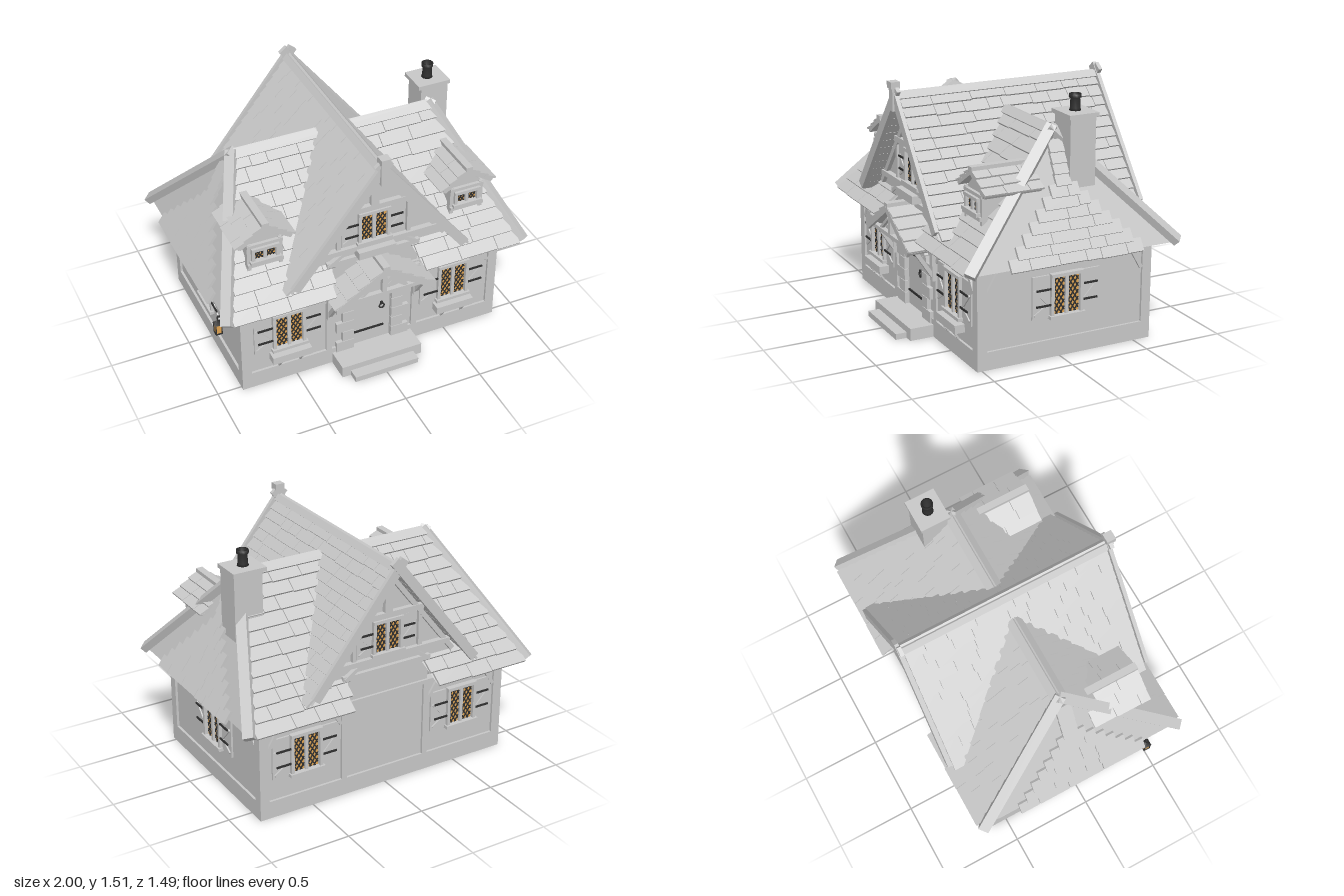
import * as THREE from 'three';
import { mergeGeometries } from 'three/addons/utils/BufferGeometryUtils.js';

const stone = new THREE.MeshStandardMaterial({ color: 0xc8c8c8, side: THREE.DoubleSide });
stone.name = 'pale grey';
const iron = new THREE.MeshStandardMaterial({ color: 0x303030 });
iron.name = 'dark iron';
const glass = new THREE.MeshStandardMaterial({ color: 0xe0a452, side: THREE.DoubleSide });
glass.name = 'amber glass';

const V = (a) => new THREE.Vector3(...a);
let seed = 7;
const rnd = () => (seed = (seed * 16807) % 2147483647) / 2147483647;

function add(parent, name, geo, mat = stone) {
  const m = new THREE.Mesh(geo, mat);
  m.name = name;
  parent.add(m);
  return m;
}
function group(parent, name, x = 0, y = 0, z = 0, ry = 0) {
  const g = new THREE.Group();
  g.name = name;
  g.position.set(x, y, z);
  g.rotation.y = ry;
  parent.add(g);
  return g;
}
// box given by its extents
function box(p, name, x0, x1, y0, y1, z0, z1, mat) {
  const m = add(p, name, new THREE.BoxGeometry(x1 - x0, y1 - y0, z1 - z0), mat);
  m.position.set((x0 + x1) / 2, (y0 + y1) / 2, (z0 + z1) / 2);
  return m;
}
// straight board from a to b, w wide, t thick along the normal n
function beam(p, name, a, b, w, t, n = [0, 0, 1], mat = stone) {
  const A = V(a), B = V(b), X = B.clone().sub(A), len = X.length();
  X.normalize();
  const Y = V(n).cross(X).normalize(), Z = X.clone().cross(Y);
  const geo = new THREE.BoxGeometry(len, w, t);
  geo.applyMatrix4(new THREE.Matrix4().makeBasis(X, Y, Z).setPosition(A.add(B).multiplyScalar(0.5)));
  return add(p, name, geo, mat);
}
function panel(p, name, pts) {
  const pos = [];
  for (let i = 1; i < pts.length - 1; i++) pos.push(...pts[0], ...pts[i], ...pts[i + 1]);
  const g = new THREE.BufferGeometry();
  g.setAttribute('position', new THREE.Float32BufferAttribute(pos, 3));
  g.computeVertexNormals();
  return add(p, name, g);
}
function plate(p, name, pts, holes, depth, z) {
  const s = new THREE.Shape(pts.map((q) => new THREE.Vector2(...q)));
  s.holes = holes;
  const m = add(p, name, new THREE.ExtrudeGeometry(s, { depth, bevelEnabled: false, curveSegments: 10 }));
  m.position.z = z;
  return m;
}
// rows of uneven shingles from o down a slope; range(t) lists the spans along u
function shingles(p, o, u, down, rows, range, thick = 0.014) {
  const U = V(u), D = V(down), L = D.length(), pitch = L / rows, geos = [];
  D.normalize();
  const up = D.clone().negate(), N = U.clone().cross(up);
  for (let r = 0; r < rows; r++) {
    for (const [a, b] of range((r + 0.6) / rows)) {
      for (let s = a; s < b - 0.01;) {
        let e = s + 0.09 + rnd() * 0.17;
        if (e > b - 0.06) e = b;
        const g = new THREE.BoxGeometry(e - s - 0.004, pitch * (1.2 + rnd() * 0.12), thick);
        g.rotateX(-0.17);
        const c = V(o).addScaledVector(U, (s + e) / 2).addScaledVector(D, (r + 0.5) * pitch + rnd() * 0.006).addScaledVector(N, 0.013);
        g.applyMatrix4(new THREE.Matrix4().makeBasis(U, up, N).setPosition(c));
        geos.push(g);
        s = e;
      }
    }
  }
  add(p, 'shingles', mergeGeometries(geos));
}
// small gable roof running along z, for the dormers and porch
function smallRoof(p, half, top, drop, z0, z1, rows) {
  for (const ry of [0, Math.PI]) {
    const zc = (z0 + z1) / 2, h = (z1 - z0) / 2, g = group(p, 'roofSlope', 0, 0, zc, ry);
    beam(g, 'roofBoard', [0, top - 0.02, 0], [half, top - drop - 0.02, 0], h * 2 - 0.02, 0.015, [drop, half, 0]);
    shingles(g, [0, top - 0.015, 0], [0, 0, -1], [half, -drop, 0], rows, () => [[-h, h]], 0.012);
  }
  box(p, 'ridgeCap', -0.022, 0.022, top - 0.012, top + 0.012, z0, z1);
}
// leaded window with optional shutters and flower box, facing +z
function leadedWindow(p, x, y, z, w, h, shutter = 0, planter = false) {
  const g = group(p, 'window', x, y, z), a = w / 2, b = h / 2, f = 0.02;
  box(g, 'glass', -a, a, -b, b, 0.002, 0.006, glass);
  for (const s of [-1, 1]) {
    const jx = s * (a + f / 2);
    box(g, 'jamb', jx - f / 2, jx + f / 2, -b - f, b + f, -0.01, 0.03);
    const pw = a / 2 - 0.007, lead = group(g, 'lattice', s * (a / 2 + 0.003), 0, 0.008);
    const k = 1.5, step = pw * 2 * k / 2.5;
    for (const d of [-1, 1]) for (let c = -6 * step; c <= 6 * step + 1e-6; c += step) {
      const x0 = Math.max(-pw, (-b - c) / k), x1 = Math.min(pw, (b - c) / k);
      if (x1 - x0 > 0.003) beam(lead, 'lead', [d * x0, k * x0 + c, 0], [d * x1, k * x1 + c, 0], 0.0075, 0.004, [0, 0, 1], iron);
    }
    if (shutter) {
      const i = a + f + 0.002, o = i + shutter, S = [Math.min(s * i, s * o), Math.max(s * i, s * o)];
      box(g, 'shutter', ...S, -b - 0.015, b + 0.015, -0.005, 0.012);
      beam(g, 'shutterBrace', [s * (i + 0.012), -b * 0.4, 0.014], [s * (o - 0.012), b * 0.45, 0.014], 0.014, 0.012);
      beam(g, 'shutterBrace', [s * (i + 0.012), -b * 0.4, 0.014], [s * (o - 0.012), -b * 0.9, 0.014], 0.012, 0.012);
      for (const hy of [-0.42, 0.42]) beam(g, 'hinge', [s * (i - 0.012), hy * b, 0.024], [s * (o - 0.02), hy * b, 0.024], 0.011, 0.008, [0, 0, 1], iron);
    }
  }
  box(g, 'mullion', -0.01, 0.01, -b, b, 0, 0.024);
  box(g, 'lintel', -a - f, a + f, b, b + f, -0.01, 0.034);
  box(g, 'sill', -a - f - 0.01, a + f + 0.01, -b - f, -b, -0.01, 0.042);
  if (planter) {
    box(g, 'flowerBox', -a - 0.04, a + 0.04, -b - 0.085, -b - 0.035, 0.005, 0.068);
    for (const s of [-1, 1]) beam(g, 'flowerBoxBracket', [s * a * 0.8, -b - 0.145, 0.015], [s * a * 0.8, -b - 0.085, 0.055], 0.012, 0.014, [1, 0, 0]);
  }
}
function archPath(T, w, y0, ys) {
  const s = new T();
  s.moveTo(-w, y0); s.lineTo(w, y0); s.lineTo(w, ys);
  s.absarc(0, ys, w, 0, Math.PI, false); s.lineTo(-w, y0);
  return s;
}
// one timbered wall facing +z, its plaster face at distance d
function facade(p, name, ry, half, d, windows, posts, door) {
  const g = group(p, name, 0, 0, 0, ry), W = 0.17, H = 0.23, Y = 0.375, out = d + 0.015;
  const holes = windows.map((x) => new THREE.Path([[-1, -1], [1, -1], [1, 1], [-1, 1]].map(([i, j]) => new THREE.Vector2(x + i * W / 2, Y + j * H / 2))));
  if (door) holes.push(archPath(THREE.Path, 0.125, 0.06, 0.42));
  plate(g, 'plaster', [[-half, 0], [half, 0], [half, 0.6], [-half, 0.6]], holes, 0.045, d - 0.045);
  windows.forEach((x) => leadedWindow(g, x, Y, d, W, H, 0.113, door));
  const edge = half + 0.015;
  for (const s of [-1, 1]) {
    const e = s * (edge - 0.03);
    box(g, 'cornerPost', e - 0.03, e + 0.03, 0.11, 0.6, d - 0.015, out);
    beam(g, 'brace', [s * (edge - 0.065), 0.45, d + 0.004], [s * (edge - 0.145), 0.59, d + 0.004], 0.022, 0.02);
    if (door) box(g, 'plinth', Math.min(s * 0.13, s * edge), Math.max(s * 0.13, s * edge), 0, 0.11, d - 0.045, out);
    for (const x of posts) {
      box(g, 'post', s * x - 0.018, s * x + 0.018, 0.11, 0.6, d - 0.01, out);
      beam(g, 'brace', [s * (x + 0.02), 0.48, d + 0.004], [s * (x + 0.09), 0.59, d + 0.004], 0.02, 0.02);
    }
  }
  if (!door) box(g, 'plinth', -edge, edge, 0, 0.11, d - 0.045, out);
  box(g, 'wallPlate', -edge, edge, 0.585, 0.61, d - 0.04, out);
  return g;
}
function gableEnd(p, ry, front) {
  const g = group(p, 'gableEnd', 0, 0, 0, ry), z = 0.555;
  plate(g, 'gableWall', [[-0.3, 0.58], [0.3, 0.58], [0.3, 0.74], [0.5, 0.74], [0, 1.38], [-0.5, 0.74], [-0.3, 0.74]], [], 0.04, z - 0.04);
  leadedWindow(g, 0, 0.972, z, 0.165, 0.185, 0.1);
  box(g, 'collarBeam', -0.24, 0.24, 1.09, 1.125, z, z + 0.03);
  box(g, 'kingPost', -0.025, 0.025, 1.12, 1.4, z, z + 0.03);
  box(g, 'gableBeam', -0.43, 0.43, 0.83, 0.862, z, z + 0.035);
  box(g, 'lowerBeam', -0.3, 0.3, 0.75, 0.782, z, z + 0.025);
  if (front) box(g, 'flowerBox', -0.12, 0.12, 0.79, 0.84, z + 0.01, z + 0.075);
  [-1, 1].forEach((s, i) => {
    box(g, 'stud', s * 0.225 - 0.013, s * 0.225 + 0.013, 0.86, 1.1, z, z + 0.022);
    beam(g, 'bracket', [s * 0.29, 0.76, z + 0.015], [s * 0.17, 0.84, z + 0.015], 0.022, 0.03);
    beam(g, 'rafter', [s * 0.46, 0.78, z + 0.01], [0, 1.365, z + 0.01], 0.03, 0.03);
    beam(g, 'bargeboard', [s * 0.545, 0.745, 0.675 + i * 0.004], [-s * 0.035, 1.478, 0.675 + i * 0.004], 0.058, 0.024);
  });
  if (front) {
    box(g, 'finialPost', -0.025, 0.025, 1.34, 1.48, 0.67, 0.702);
    box(g, 'finialCap', -0.03, 0.03, 1.475, 1.515, 0.655, 0.712);
  }
}
function mainRoof(p, ry) {
  const g = group(p, 'roofHalf', 0, 0, 0, ry), top = 1.295;
  const at = (x, t) => [x, top - 0.68 * t, 0.67 * t];
  for (const s of [-1, 1]) {
    panel(g, 'mainSlope', [at(s * 0.05, 0), at(s * 0.65, 0), at(s * 0.95, 1), at(s * 0.3, 1)]);
    beam(g, 'hipBoard', [s * 0.64, 1.315, -0.01], [s * 0.965, 0.625, 0.672], 0.065, 0.045, [s * 0.6, 0.6, 0.4]);
  }
  shingles(g, [0, top, 0], [1, 0, 0], [0, -0.68, 0.67], 11, (t) => [[-0.64 - 0.3 * t, -0.05 - 0.25 * t], [0.05 + 0.25 * t, 0.64 + 0.3 * t]]);
  // hip end
  panel(g, 'hipSlope', [[0.65, top, 0], at(0.95, 1), [0.95, 0.615, -0.67]]);
  shingles(g, [0.652, top, 0], [0, 0, -1], [0.312, -0.685, 0], 12, (t) => {
    const h = Math.max(0.05, 0.67 * t - 0.22);
    return t < 0.1 ? [] : [[-h, h]];
  }, 0.018);
  beam(g, 'ridgeBoard', [-0.65, 1.302, 0.022], [0.65, 1.302, 0.022], 0.055, 0.018, [0, 1, 0.9]);
  // one slope of the crossing gable roof
  panel(g, 'crossSlope', [[0, 1.42, 0.665], [0, 1.42, -0.665], [0.56, 0.71, -0.665], [0.56, 0.71, 0.665]]);
  shingles(g, [0, 1.42, 0], [0, 0, -1], [0.565, -0.715, 0], 13, (t) => {
    const i = 1.26 - (1.42 - 0.715 * t);
    return i <= 0 ? [[-0.66, 0.66]] : [[-0.66, -Math.min(i, 0.56)], [Math.min(i, 0.56), 0.66]];
  });
  beam(g, 'crossRidgeBoard', [0.018, 1.428, -0.685], [0.018, 1.428, 0.67], 0.045, 0.018, [0.78, 0.62, 0]);
}
function dormer(p, x) {
  const g = group(p, 'dormer', x);
  plate(g, 'dormerBody', [[-0.1, 0.78], [0.1, 0.78], [0.1, 1.01], [0, 1.1], [-0.1, 1.01]], [], 0.34, 0.14);
  leadedWindow(g, 0, 0.93, 0.48, 0.13, 0.065);
  box(g, 'dormerSill', -0.11, 0.11, 0.855, 0.878, 0.46, 0.51);
  box(g, 'dormerBeam', -0.11, 0.11, 0.985, 1.005, 0.47, 0.5);
  for (const s of [-1, 1]) {
    box(g, 'dormerPost', s * 0.098 - 0.012, s * 0.098 + 0.012, 0.8, 1.01, 0.46, 0.495);
    beam(g, 'dormerBarge', [s * 0.16, 1.012, 0.505], [0, 1.115, 0.505], 0.026, 0.014);
  }
  smallRoof(g, 0.165, 1.135, 0.11, 0.14, 0.515, 3);
}
function porchAndDoor(p) {
  const g = group(p, 'porch'), z = 0.555;
  smallRoof(g, 0.305, 0.775, 0.2, 0.54, 0.75, 4);
  box(g, 'tieBeam', -0.27, 0.27, 0.565, 0.59, 0.7, 0.73);
  box(g, 'kingPost', -0.015, 0.015, 0.58, 0.74, 0.7, 0.73);
  for (const s of [-1, 1]) {
    beam(g, 'porchBarge', [s * 0.305, 0.555, 0.74], [0, 0.752, 0.74], 0.04, 0.02);
    beam(g, 'porchStrut', [s * 0.15, 0.585, 0.715], [s * 0.03, 0.68, 0.715], 0.018, 0.02);
    box(g, 'porchPost', s * 0.285 - 0.018, s * 0.285 + 0.018, 0.365, 0.6, z, z + 0.035);
    box(g, 'porchPlate', s * 0.285 - 0.016, s * 0.285 + 0.016, 0.55, 0.58, z, 0.73);
    beam(g, 'porchBrace', [s * 0.285, 0.385, 0.575], [s * 0.285, 0.56, 0.69], 0.024, 0.026, [1, 0, 0]);
    // alternating door stones
    for (let i = 0; i < 5; i++) {
      const o = i % 2 ? 0.2 : 0.24, y = 0.075 + i * 0.075;
      box(g, 'doorStone', Math.min(s * 0.125, s * o), Math.max(s * 0.125, s * o), y + 0.002, y + 0.073, z - 0.01, z + 0.025);
    }
  }
  for (let i = 0; i < 9; i++) {
    const a = i * Math.PI / 9 + 0.012, b = (i + 1) * Math.PI / 9 - 0.012;
    const o = i % 2 ? 0.185 : 0.2;
    const pt = (r, t) => [r * Math.cos(t), 0.42 + r * Math.sin(t)];
    plate(g, 'archStone', [pt(0.125, a), pt(o, a), pt(o, b), pt(0.125, b)], [], 0.035, z - 0.01);
  }
  const door = add(g, 'door', new THREE.ExtrudeGeometry(archPath(THREE.Shape, 0.126, 0.07, 0.42), { depth: 0.025, bevelEnabled: false }));
  door.position.z = z - 0.03;
  for (const y of [0.17, 0.42]) box(g, 'doorStrap', -0.122, 0.085, y - 0.006, y + 0.006, z - 0.006, z + 0.003, iron);
  const ring = add(g, 'doorRing', new THREE.TorusGeometry(0.016, 0.005, 6, 14), iron);
  ring.position.set(0.068, 0.328, z + 0.006);
  box(g, 'ringPlate', 0.06, 0.076, 0.34, 0.356, z - 0.006, z + 0.01, iron);
  box(g, 'upperStep', -0.265, 0.265, 0, 0.076, 0.5, 0.72);
  box(g, 'lowerStep', -0.21, 0.21, 0, 0.036, 0.7, 0.79);
}
export function createModel() {
  seed = 7;
  const root = new THREE.Group();
  root.name = 'cottage';
  const h = group(root, 'house', 0, 0, -0.04);
  facade(h, 'frontWall', 0, 0.835, 0.555, [-0.545, 0.545], [0.285], true);
  facade(h, 'backWall', Math.PI, 0.835, 0.555, [-0.545, 0.545], [0.285], false);
  for (const s of [-1, 1]) {
    facade(h, 'sideWall', s * Math.PI / 2, 0.555, 0.835, [0], [], false);
    dormer(h, s * 0.65);
  }
  for (const ry of [0, Math.PI]) {
    mainRoof(h, ry);
    gableEnd(h, ry, ry === 0);
  }
  porchAndDoor(h);
  // chimney
  box(h, 'chimneyStack', 0.61, 0.79, 0.85, 1.385, -0.21, -0.045);
  box(h, 'chimneyCap', 0.588, 0.8, 1.38, 1.405, -0.225, -0.035);
  const pot = [[0.001, 1.4], [0.036, 1.4], [0.03, 1.42], [0.028, 1.475], [0.036, 1.48], [0.036, 1.5], [0.026, 1.5], [0.024, 1.44], [0.001, 1.44]];
  add(h, 'chimneyPot', new THREE.LatheGeometry(pot.map((q) => new THREE.Vector2(...q)), 16), iron).position.set(0.69, 0, -0.13);
  // wall lantern
  const l = group(h, 'lantern', -0.95, 0, 0.47);
  box(l, 'wallMount', 0.08, 0.1, 0.44, 0.54, -0.01, 0.01, iron);
  beam(l, 'arm', [0.09, 0.525, 0], [0, 0.535, 0], 0.009, 0.009, [0, 0, 1], iron);
  beam(l, 'armBrace', [0.09, 0.47, 0], [0.04, 0.528, 0], 0.008, 0.008, [0, 0, 1], iron);
  box(l, 'hook', -0.003, 0.003, 0.5, 0.537, -0.003, 0.003, iron);
  box(l, 'lanternGlass', -0.017, 0.017, 0.42, 0.485, -0.017, 0.017, glass);
  box(l, 'lanternBase', -0.021, 0.021, 0.413, 0.421, -0.021, 0.021, iron);
  const cap = add(l, 'lanternCap', new THREE.ConeGeometry(0.034, 0.028, 4), iron);
  cap.position.y = 0.498;
  cap.rotation.y = Math.PI / 4;
  for (const i of [-1, 1]) for (const k of [-1, 1]) box(l, 'lanternBar', i * 0.018 - 0.003, i * 0.018 + 0.003, 0.42, 0.487, k * 0.018 - 0.003, k * 0.018 + 0.003, iron);
  return root;
}
